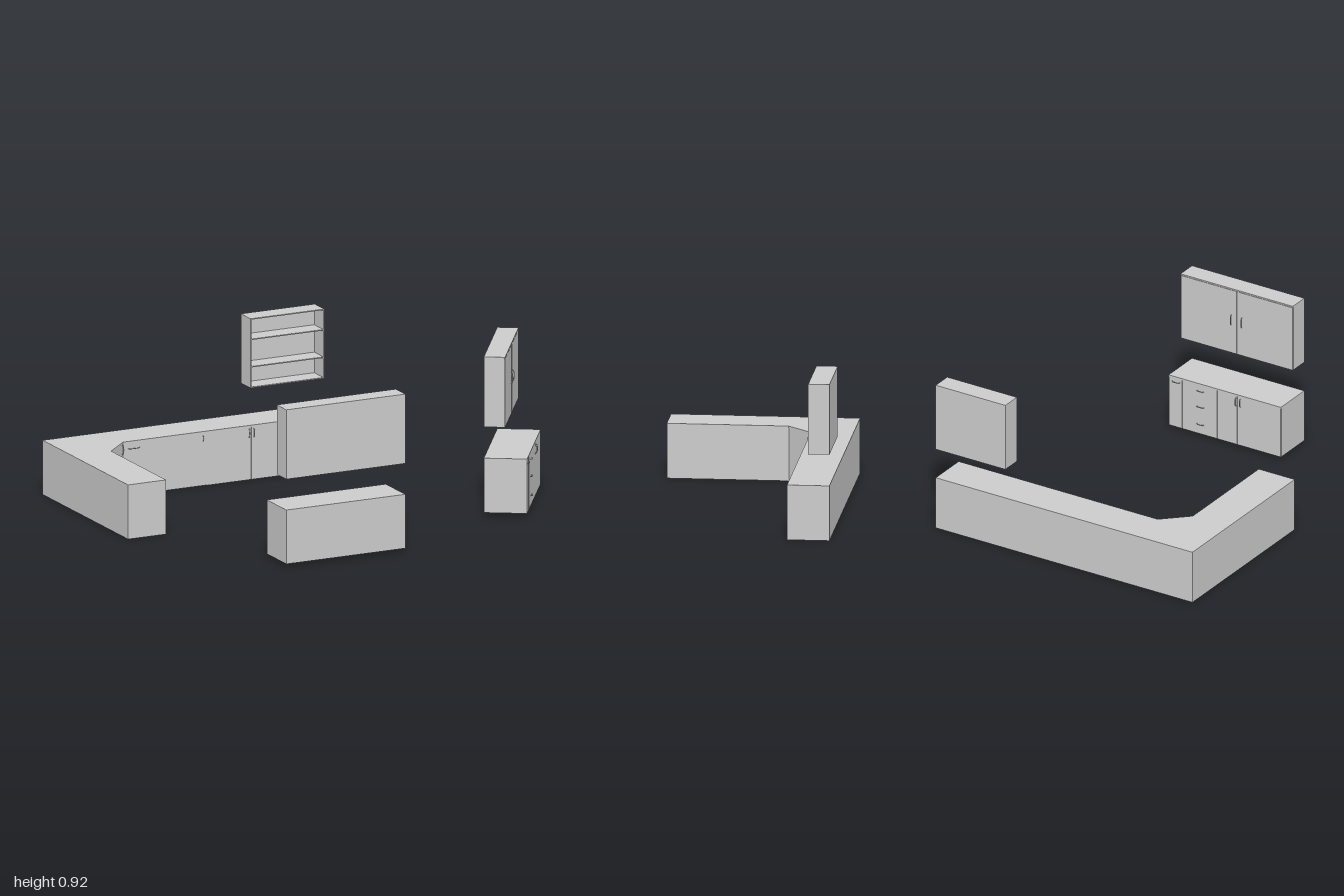
import * as THREE from 'three';

const grey = new THREE.MeshStandardMaterial({ color: 0xcccccc });
const T = 0.006; // front panel thickness
const GAP = 0.0015;

function add(parent, name, geometry) {
  const mesh = new THREE.Mesh(geometry, grey);
  mesh.name = name;
  parent.add(mesh);
  return mesh;
}

// Box given by its extents on each axis
function box(parent, name, [x0, x1], [y0, y1], [z0, z1]) {
  const mesh = add(parent, name, new THREE.BoxGeometry(x1 - x0, y1 - y0, z1 - z0));
  mesh.position.set((x0 + x1) / 2, (y0 + y1) / 2, (z0 + z1) / 2);
  return mesh;
}

// Plan outline (x, z) made into a slab between two heights
function slab(parent, name, outline, y0, y1) {
  const shape = new THREE.Shape(outline.map(([x, z]) => new THREE.Vector2(x, z)));
  const geometry = new THREE.ExtrudeGeometry(shape, { depth: y1 - y0, bevelEnabled: false });
  geometry.rotateX(Math.PI / 2).translate(0, y1, 0);
  return add(parent, name, geometry);
}

// A frontage has its outer face on local z = 0, facing local +z
function frontage(parent, name, x, z, angle = 0) {
  const group = new THREE.Group();
  group.name = name;
  group.position.set(x, 0, z);
  group.rotation.y = angle;
  parent.add(group);
  return group;
}

const panel = (parent, name, x0, x1, y0, y1) =>
  box(parent, name, [x0 + GAP, x1 - GAP], [y0, y1], [-T, 0]);

// Bowed pull handle
function handle(parent, x, y, length, vertical = false) {
  const h = length / 2;
  const curve = new THREE.CatmullRomCurve3([
    [-h, -0.001], [-h * 0.8, 0.007], [0, 0.01], [h * 0.8, 0.007], [h, -0.001],
  ].map(([a, d]) => new THREE.Vector3(a, 0, d)));
  const mesh = add(parent, 'handle', new THREE.TubeGeometry(curve, 16, 0.0022, 6));
  mesh.position.set(x, y, 0);
  if (vertical) mesh.rotation.z = Math.PI / 2;
}

function cornerCounter() {
  const group = new THREE.Group();
  group.name = 'cornerCounter';
  const outline = (inset) => [
    [-0.86, -1], [0.855, -1], [0.855, -0.76 - inset], [-0.475, -0.76 - inset],
    [-0.62, -0.62 - inset], [-0.62, 0.07], [-0.86, 0.07],
  ];
  slab(group, 'worktop', outline(0), 0.31, 0.32);
  slab(group, 'counterBody', outline(T), 0.003, 0.31);

  // Long run of doors and drawers
  const run = frontage(group, 'longFront', 0, -0.76);
  panel(run, 'wideDoor', -0.475, 0.052, 0.015, 0.31);
  panel(run, 'leftDoor', 0.052, 0.335, 0.003, 0.31);
  panel(run, 'rightDoor', 0.335, 0.61, 0.003, 0.31);
  panel(run, 'drawerFront', 0.61, 0.855 + GAP, 0.003, 0.31);
  handle(run, -0.405, 0.277, 0.07);
  handle(run, 0.03, 0.28, 0.03, true);
  for (const x of [0.32, 0.35]) handle(run, x, 0.275, 0.05, true);
  for (const y of [0.275, 0.175, 0.06]) handle(run, 0.738, y, 0.05);

  // Diagonal corner door
  const corner = frontage(group, 'cornerFront', -0.5475, -0.69, Math.atan2(0.14, 0.145));
  panel(corner, 'cornerDoor', -0.1, 0.1, 0.012, 0.31);
  handle(corner, 0.088, 0.278, 0.055, true);
  return group;
}

function openShelf() {
  const group = new THREE.Group();
  group.name = 'openShelf';
  const X = [0.39, 0.855], Z = [-1, -0.88], t = 0.006;
  box(group, 'shelfBack', X, [0.5, 0.905], [-1, -1 + t]);
  for (const x of [X[0], X[1] - t]) box(group, 'shelfSide', [x, x + t], [0.5, 0.905], Z);
  for (const y of [0.5, 0.62, 0.78, 0.899]) {
    box(group, 'shelfBoard', [X[0] + t, X[1] - t], [y, y + t], [-1 + t, Z[1]]);
  }
  return group;
}

// Facing units; their fronts look back towards the corner counter
function facingUnits() {
  const group = new THREE.Group();
  group.name = 'facingUnits';
  const X = [-0.33, 0.42];
  box(group, 'baseTop', X, [0.325, 0.335], [0.755, 1]);
  box(group, 'baseBody', X, [0.02, 0.325], [0.755 + T, 1]);
  const base = frontage(group, 'baseFront', 0, 0.755, Math.PI);
  const edges = [-0.42, -0.33, -0.095, 0.04, 0.33];
  ['narrowDoor', 'drawerFront', 'leftDoor', 'rightDoor'].forEach((name, i) =>
    panel(base, name, edges[i], edges[i + 1], 0.02, 0.325));
  handle(base, -0.37, 0.303, 0.05);
  for (const y of [0.29, 0.19, 0.08]) handle(base, -0.207, y, 0.045);
  for (const x of [0.03, 0.06]) handle(base, x, 0.288, 0.05, true);

  box(group, 'wallCabinetTop', X, [0.912, 0.92], [0.88, 1]);
  box(group, 'wallCabinetBody', X, [0.515, 0.912], [0.88 + T, 1]);
  const wall = frontage(group, 'wallCabinetFront', 0, 0.88, Math.PI);
  panel(wall, 'leftDoor', -0.42, -0.045, 0.515, 0.91);
  panel(wall, 'rightDoor', -0.045, 0.33, 0.515, 0.91);
  for (const x of [-0.08, -0.01]) handle(wall, x, 0.722, 0.065, true);
  return group;
}

export function createModel() {
  const model = new THREE.Group();
  model.name = 'kitchen';
  model.add(cornerCounter(), openShelf(), facingUnits());
  return model;
}
